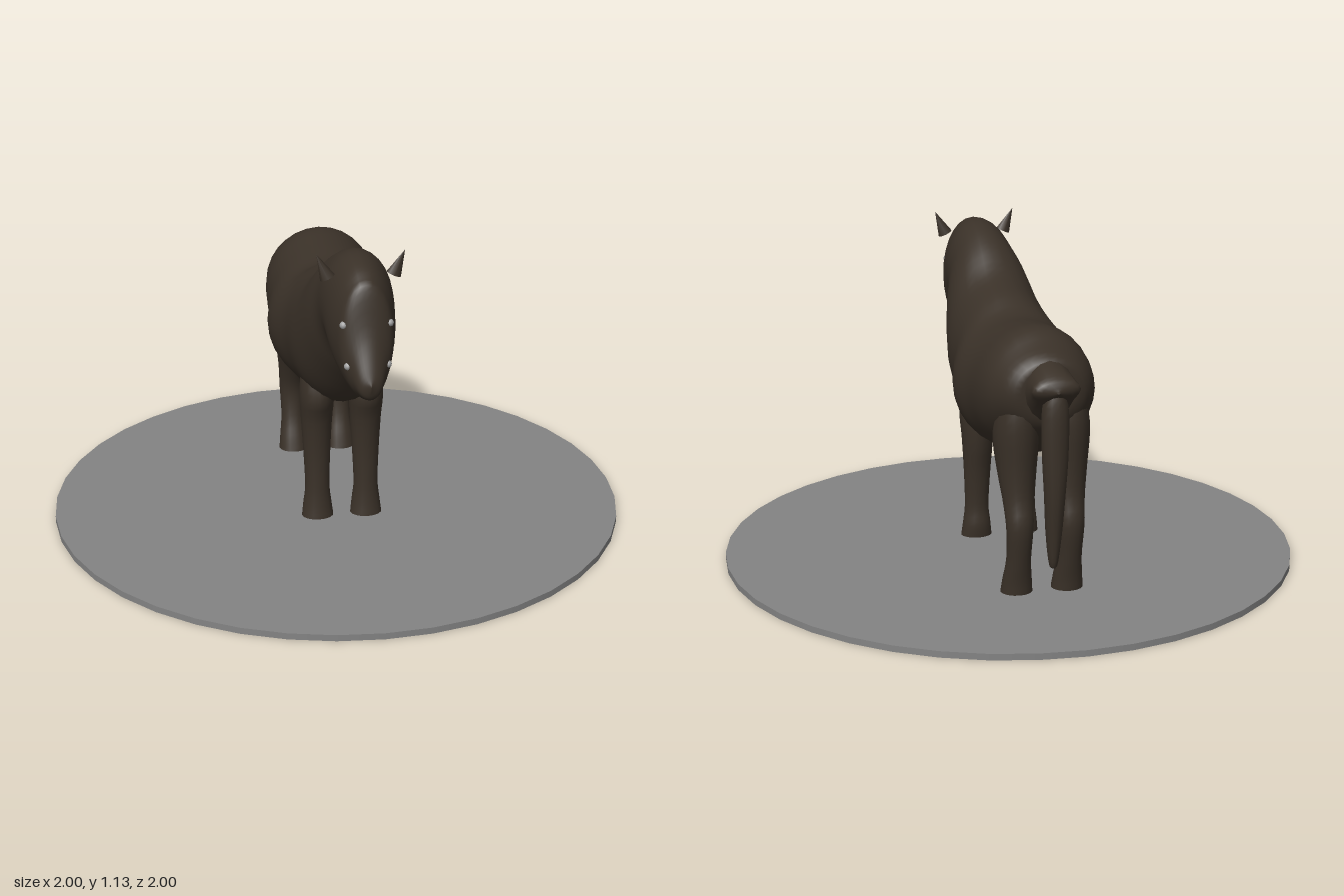
import * as THREE from 'three';

const mat = (name, color) => Object.assign(new THREE.MeshStandardMaterial({ color }), { name });

// Each section is [zA, yA, zB, yB, halfWidth]: an ellipse spanning the edge points A and B.
function surface(sections) {
  const a = new THREE.CatmullRomCurve3(sections.map(s => new THREE.Vector3(s[4], s[1], s[0])));
  const b = new THREE.CatmullRomCurve3(sections.map(s => new THREE.Vector3(0, s[3], s[2])));
  a.curveType = b.curveType = 'catmullrom';
  return (t, angle) => {
    const p = a.getPoint(t), q = b.getPoint(t), c = Math.cos(angle);
    return new THREE.Vector3(
      Math.max(p.x, 0) * Math.sin(angle),
      (p.y + q.y) / 2 + c * (p.y - q.y) / 2,
      (p.z + q.z) / 2 + c * (p.z - q.z) / 2);
  };
}

// Smooth skin over a list of sections
function loft(sections, rings, sides) {
  const at = surface(sections), pos = [], index = [];
  for (let i = 0; i <= rings; i++)
    for (let j = 0; j < sides; j++) pos.push(...at(i / rings, j / sides * Math.PI * 2).toArray());
  for (let i = 0; i < rings; i++)
    for (let j = 0; j < sides; j++) {
      const k = (j + 1) % sides, p = i * sides, q = p + sides;
      index.push(p + j, q + j, p + k, p + k, q + j, q + k);
    }
  const g = new THREE.BufferGeometry();
  g.setAttribute('position', new THREE.Float32BufferAttribute(pos, 3));
  g.setIndex(index);
  g.computeVertexNormals();
  return g;
}

// Rump to nose; sections tilt into the neck and head
const BODY = [
  [-0.54, 0.76, -0.54, 0.74, 0.01],
  [-0.54, 0.84, -0.535, 0.63, 0.12],
  [-0.46, 0.88, -0.46, 0.55, 0.175],
  [-0.37, 0.915, -0.36, 0.475, 0.197],
  [-0.24, 0.90, -0.24, 0.445, 0.205],
  [-0.10, 0.885, -0.12, 0.43, 0.222],
  [0.01, 0.93, 0.05, 0.44, 0.19],
  [0.14, 0.97, 0.20, 0.485, 0.178],
  [0.25, 1.045, 0.32, 0.63, 0.152],
  [0.34, 1.09, 0.38, 0.715, 0.128],
  [0.43, 1.11, 0.43, 0.745, 0.12],
  [0.52, 1.10, 0.50, 0.695, 0.112],
  [0.58, 1.075, 0.57, 0.675, 0.098],
  [0.615, 1.04, 0.625, 0.675, 0.085],
  [0.65, 0.90, 0.66, 0.685, 0.06],
  [0.695, 0.79, 0.695, 0.70, 0.035],
  [0.713, 0.75, 0.71, 0.735, 0.0],
];
const FRONT_LEG = [
  [0.16, 0.62, 0.06, 0.62, 0.05],
  [0.20, 0.49, 0.03, 0.49, 0.06],
  [0.175, 0.40, 0.04, 0.38, 0.055],
  [0.16, 0.27, 0.065, 0.27, 0.048],
  [0.16, 0.14, 0.08, 0.14, 0.043],
  [0.165, 0.07, 0.075, 0.07, 0.05],
  [0.172, 0.02, 0.08, 0.02, 0.056],
];
const HIND_LEG = [
  [-0.34, 0.66, -0.52, 0.72, 0.06],
  [-0.34, 0.53, -0.535, 0.62, 0.075],
  [-0.37, 0.44, -0.525, 0.47, 0.065],
  [-0.42, 0.34, -0.525, 0.36, 0.052],
  [-0.45, 0.25, -0.54, 0.27, 0.046],
  [-0.44, 0.15, -0.52, 0.15, 0.042],
  [-0.415, 0.07, -0.505, 0.07, 0.05],
  [-0.40, 0.02, -0.50, 0.02, 0.055],
];
const TAIL_DOCK = [
  [-0.65, 0.77, -0.65, 0.76, 0.005],
  [-0.635, 0.80, -0.63, 0.735, 0.075],
  [-0.59, 0.825, -0.59, 0.69, 0.08],
  [-0.53, 0.845, -0.53, 0.63, 0.085],
];
const TAIL = [
  [-0.58, 0.78, -0.63, 0.78, 0.02],
  [-0.565, 0.70, -0.65, 0.70, 0.045],
  [-0.565, 0.55, -0.652, 0.55, 0.045],
  [-0.562, 0.40, -0.648, 0.40, 0.035],
  [-0.562, 0.27, -0.63, 0.27, 0.027],
  [-0.572, 0.16, -0.612, 0.16, 0.014],
  [-0.59, 0.152, -0.595, 0.152, 0.0],
];

export function createModel() {
  const group = new THREE.Group();
  const coat = mat('dark brown coat', 0x3a3128);
  const stone = mat('grey base', 0x848484);
  const pale = mat('pale grey', 0xa0a0a0);

  const add = (name, geometry, material, x = 0, y = 0, z = 0) => {
    const m = new THREE.Mesh(geometry, material);
    m.name = name;
    m.position.set(x, y, z);
    group.add(m);
    return m;
  };

  add('base', new THREE.CylinderGeometry(1, 1, 0.022, 40), stone, 0, 0.011, 0);
  add('body', loft(BODY, 64, 28), coat);
  add('tailDock', loft(TAIL_DOCK, 10, 16), coat);
  add('tail', loft(TAIL, 20, 12), coat);

  const frontLeg = loft(FRONT_LEG, 20, 16), hindLeg = loft(HIND_LEG, 24, 16);
  const ear = new THREE.ConeGeometry(0.026, 0.09, 8);
  const spot = new THREE.SphereGeometry(0.013, 10, 8);
  const skin = surface(BODY);

  for (const [side, s] of [['left', 1], ['right', -1]]) {
    add(side + 'FrontLeg', frontLeg, coat, s * 0.086);
    add(side + 'HindLeg', hindLeg, coat, s * 0.088);

    // Small pointed ears leaning outward
    const e = add(side + 'Ear', ear, coat, s * 0.126, 1.09, 0.497);
    e.rotation.z = -s * 0.42;
    e.scale.z = 0.75;

    // Eyes and nostrils sit flush on the head surface
    for (const [name, t, angle] of [['Eye', 12.9 / 16, 1.2], ['Nostril', 13.55 / 16, 1.75]]) {
      const p = skin(t, angle);
      add(side + name, spot, pale, s * (p.x - 0.006), p.y, p.z);
    }
  }
  return group;
}
